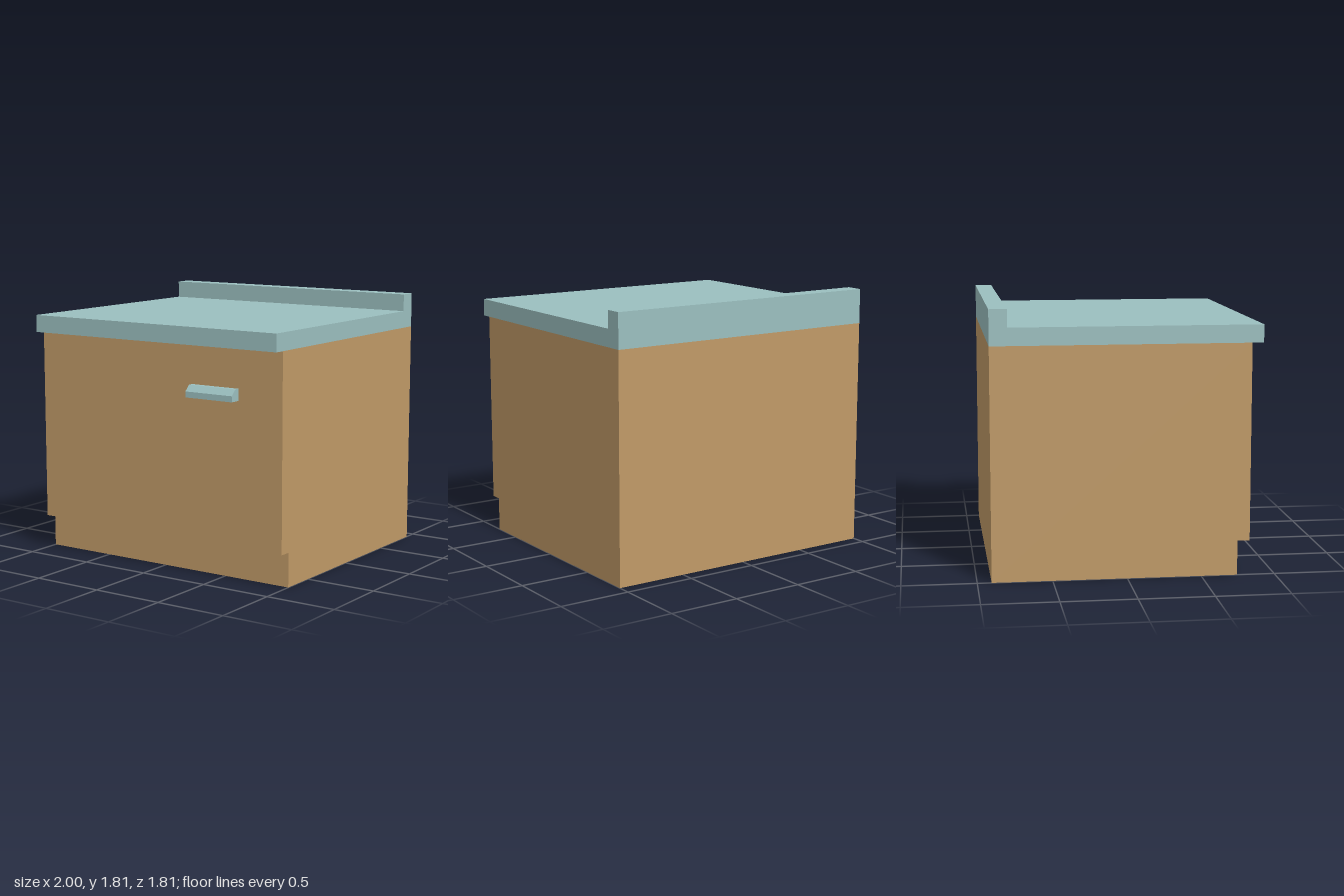
import * as THREE from 'three';

// Extrudes a side profile of [z, y] points across the width from x0 to x1
function extrudeAcross(name, profile, x0, x1, material) {
  const shape = new THREE.Shape(profile.map(([z, y]) => new THREE.Vector2(z, y)));
  const geometry = new THREE.ExtrudeGeometry(shape, { depth: x1 - x0, bevelEnabled: false });
  geometry.rotateY(-Math.PI / 2);
  geometry.translate(x1, 0, 0);
  const mesh = new THREE.Mesh(geometry, material);
  mesh.name = name;
  return mesh;
}

export function createModel() {
  const wood = new THREE.MeshStandardMaterial({ color: 0xc09a67 });
  wood.name = 'wood';
  const teal = new THREE.MeshStandardMaterial({ color: 0x9bbfbf });
  teal.name = 'paleTeal';

  const group = new THREE.Group();
  group.name = 'kitchenCabinet';

  // Cabinet body with a recessed toe kick at the front
  group.add(extrudeAcross('cabinetBody', [
    [-0.905, 0], [0.745, 0], [0.745, 0.235], [0.828, 0.235], [0.828, 1.57], [-0.905, 1.57],
  ], -1, 1, wood));

  // Worktop with front overhang and a raised splashback
  group.add(extrudeAcross('worktop', [
    [-0.905, 1.57], [0.905, 1.57], [0.905, 1.69], [-0.785, 1.69], [-0.785, 1.81], [-0.905, 1.81],
  ], -1, 1, teal));

  // Door handle with a chamfered upper front edge
  group.add(extrudeAcross('doorHandle', [
    [0.828, 1.22], [0.905, 1.22], [0.905, 1.26], [0.866, 1.30], [0.828, 1.30],
  ], 0.29, 0.66, teal));

  return group;
}
